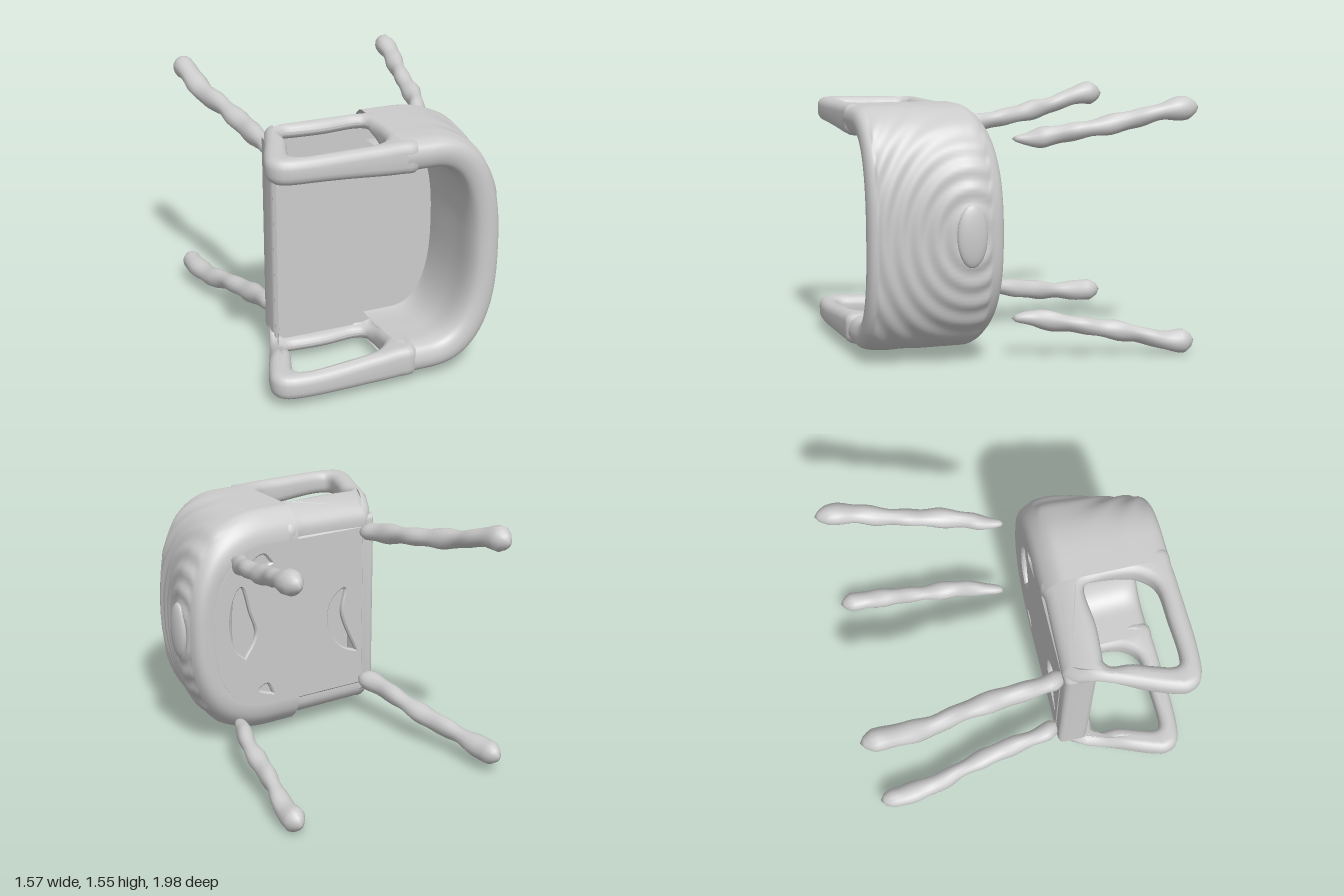
import * as THREE from 'three';
import { mergeVertices, toCreasedNormals } from 'three/addons/utils/BufferGeometryUtils.js';

const MID = 0.76; // height of the mirror plane between the two arms
const material = new THREE.MeshStandardMaterial({ color: 0xcccccc, side: THREE.DoubleSide });

// Smooth skin over a grid of points given by a rule
function skin(rows, cols, point) {
  const pos = [], index = [];
  for (let i = 0; i <= rows; i++)
    for (let j = 0; j <= cols; j++) pos.push(...point(i / rows, j / cols));
  const w = cols + 1;
  for (let i = 0; i < rows; i++)
    for (let j = 0; j < cols; j++) {
      const a = i * w + j;
      index.push(a, a + 1, a + w, a + 1, a + w + 1, a + w);
    }
  let geo = new THREE.BufferGeometry();
  geo.setAttribute('position', new THREE.Float32BufferAttribute(pos, 3));
  geo.setIndex(index);
  geo = mergeVertices(geo, 1e-4);
  geo.computeVertexNormals();
  return geo;
}

// Rounded end of the U outline
function outline(angle, a, b) {
  const c = Math.cos(angle), s = Math.sin(angle), e = 2 / 2.5;
  return [0.15 + a * Math.pow(Math.max(c, 0), e), MID + b * Math.sign(s) * Math.pow(Math.abs(s), e)];
}

function blob(points) {
  return new THREE.SplineCurve([...points, points[0]].map(p => new THREE.Vector2(...p))).getPoints(56);
}

// Extruded slab with a softened edge that stays inside its outline
function slab(shape, thickness, bevel, bevelSegments) {
  const geo = new THREE.ExtrudeGeometry(shape, {
    depth: thickness - 2 * bevel, bevelThickness: bevel, bevelSize: bevel, bevelOffset: -bevel, bevelSegments
  });
  geo.translate(0, 0, bevel - thickness / 2);
  return geo;
}

function uShape(front, a, b) {
  const pts = [new THREE.Vector2(front, MID - b)];
  for (let k = 0; k <= 32; k++) pts.push(new THREE.Vector2(...outline(-Math.PI / 2 + Math.PI * k / 32, a, b)));
  pts.push(new THREE.Vector2(front, MID + b));
  return new THREE.Shape(pts);
}

export function createModel() {
  const model = new THREE.Group();
  const add = (name, geo, x = 0, y = 0, z = 0) => {
    const mesh = new THREE.Mesh(geo, material);
    mesh.name = name;
    mesh.position.set(x, y, z);
    model.add(mesh);
    return mesh;
  };

  // Curved backrest: section [a, b, z] swept round the U
  const section = [
    [0.49, 0.53, 0.2], [0.55, 0.63, 0.225], [0.575, 0.715, 0.31], [0.582, 0.722, 0.4], [0.56, 0.722, 0.5],
    [0.53, 0.722, 0.6], [0.5, 0.722, 0.7], [0.475, 0.722, 0.8], [0.455, 0.715, 0.9], [0.43, 0.69, 0.95],
    [0.37, 0.63, 0.968], [0.31, 0.56, 0.94], [0.285, 0.54, 0.88], [0.28, 0.55, 0.7], [0.28, 0.56, 0.4],
    [0.3, 0.5, 0.24]
  ];
  const loop = new THREE.CatmullRomCurve3(section.map(p => new THREE.Vector3(...p)), true, 'centripetal');
  add('backrest', skin(120, 90, (u, v) => {
    const p = loop.getPoint(u % 1);
    const k = v * 90;
    const angle = -Math.PI / 2 + Math.PI * Math.min(Math.max((k - 1) / 88, 0), 1);
    let [x, y] = outline(angle, p.x, p.y);
    // concentric terraces round the middle of the outer wall
    if (p.x > 0.4 && p.z > 0.29 && p.z < 0.92) {
      const d = Math.hypot((y - MID) / 0.42, (p.z - 0.4) / 0.33);
      const ripple = 0.007 * Math.sin(d * 22) * Math.cos(angle);
      [x, y] = outline(angle, p.x + ripple, p.y + ripple);
    }
    return [k < 0.5 || k > 89.5 ? -0.01 : x, y, p.z];
  }));

  // Raised oval pad on the outside of the backrest
  add('backPad', new THREE.SphereGeometry(1, 24, 16), 0.728, 0.77, 0.41).scale.set(0.036, 0.18, 0.09);

  // Arms: side panels with a rounded opening
  const side = new THREE.Shape(blob([
    [-0.52, 0.2], [-0.4, 0.205], [-0.2, 0.21], [-0.05, 0.215], [0.08, 0.23], [0.12, 0.6], [0.08, 0.93], [-0.05, 0.963],
    [-0.25, 0.97], [-0.55, 0.975], [-0.73, 0.95], [-0.79, 0.87], [-0.77, 0.76], [-0.7, 0.58], [-0.64, 0.42], [-0.58, 0.26]
  ]));
  side.holes.push(new THREE.Path(blob([
    [-0.52, 0.43], [-0.3, 0.445], [-0.07, 0.43], [-0.03, 0.52], [-0.03, 0.66], [-0.06, 0.77], [-0.15, 0.85],
    [-0.35, 0.86], [-0.58, 0.865], [-0.64, 0.82], [-0.61, 0.7], [-0.57, 0.58], [-0.56, 0.47]
  ])));
  for (const s of [-1, 1]) {
    const geo = slab(side, 0.145, 0.05, 4);
    geo.rotateX(Math.PI / 2);
    const p = geo.attributes.position;
    for (let i = 0; i < p.count; i++) {
      const x = p.getX(i), z = p.getZ(i), out = s * p.getY(i);
      // lean inward under the seat; inner face is thin beside the seat, thicker toward the backrest
      const lean = 0.6 * Math.max(0, 0.36 - z);
      const thin = 0.06 * (1 - THREE.MathUtils.smoothstep(z, 0.42, 0.65)) * THREE.MathUtils.smoothstep(z, 0.24, 0.36);
      const thick = 0.04 * THREE.MathUtils.smoothstep(x, -0.6, 0.1) * THREE.MathUtils.smoothstep(z, 0.6, 0.85);
      p.setY(i, s * (out - lean + (out < 0 ? thin - thick : 0)));
    }
    add(s > 0 ? 'upperArm' : 'lowerArm', toCreasedNormals(geo, 0.9), 0, MID + s * 0.646, s > 0 ? 0 : 0.012);
  }

  // Seat, front rail and pierced underside
  add('seat', slab(uShape(-0.58, 0.36, 0.665), 0.05, 0.015, 1), 0, 0, 0.365);
  const rail = new THREE.Shape([[-0.588, 0.16], [-0.47, 0.16], [-0.47, 1.36], [-0.588, 1.36]].map(p => new THREE.Vector2(...p)));
  add('frontRail', toCreasedNormals(slab(rail, 0.185, 0.035, 4), 0.5), 0, 0, 0.295);
  const under = uShape(-0.5, 0.45, 0.54);
  const holes = [
    [[0.38, 0.58], [0.45, 0.66], [0.48, 0.82], [0.45, 0.98], [0.39, 1.04], [0.34, 0.87], [0.3, 0.72]],
    [[-0.45, 0.46], [-0.33, 0.52], [-0.24, 0.66], [-0.25, 0.82], [-0.36, 0.9], [-0.34, 0.72]],
    [[0.18, 1.17], [0.3, 1.13], [0.32, 1.19], [0.24, 1.23]],
    [[0.18, 0.3], [0.28, 0.34], [0.22, 0.37]]
  ];
  holes.forEach(h => under.holes.push(new THREE.Path(blob(h))));
  add('underside', slab(under, 0.04, 0.01, 1), 0, 0, 0.22);

  // Lumpy, slightly twisted legs with a knob at the foot
  const leg = (name, path, neck, radius, phase) => {
    const curve = new THREE.CatmullRomCurve3(path.map(p => new THREE.Vector3(...p)));
    add(name, skin(48, 14, (u, v) => {
      const cap = Math.sqrt(Math.max(0, Math.min(1, u / neck) * Math.min(1, (1 - u) / 0.06)));
      const knob = 0.012 * Math.exp(-Math.pow((u - 0.9) / 0.09, 2));
      const turn = -2 * Math.PI * (v % 1);
      const r = cap * (radius + knob + 0.004 * Math.sin(u * 34 + phase) + 0.005 * Math.cos(2 * turn + u * 16));
      const p = curve.getPointAt(u);
      return [p.x + r * Math.cos(turn), p.y + r * Math.sin(turn), p.z];
    }));
  };
  for (const s of [-1, 1]) {
    const label = s > 0 ? 'Upper' : 'Lower';
    const foot = s > 0 ? 0.705 : 0.65;
    leg('front' + label + 'Leg', [
      [-0.5, MID + s * 0.5, 0.23], [-0.535, MID + s * 0.52, 0.06], [-0.57, MID + s * 0.56, -0.2],
      [-0.605, MID + s * 0.595, -0.4], [-0.66, MID + s * 0.63, -0.6], [-0.688, MID + s * foot, -0.85],
      [-0.69, MID + s * foot, -0.995]
    ], 0.06, 0.058, s);
    leg('rear' + label + 'Leg', [
      [0.505, MID + s * 0.53, 0.095], [0.53, MID + s * 0.528, 0], [0.59, MID + s * 0.56, -0.2],
      [0.625, MID + s * 0.595, -0.4], [0.66, MID + s * 0.635, -0.6], [0.705, MID + s * 0.69, -0.82],
      [0.715, MID + s * 0.7, -0.995]
    ], 0.15, 0.054, 2 + s);
  }
  return model;
}
